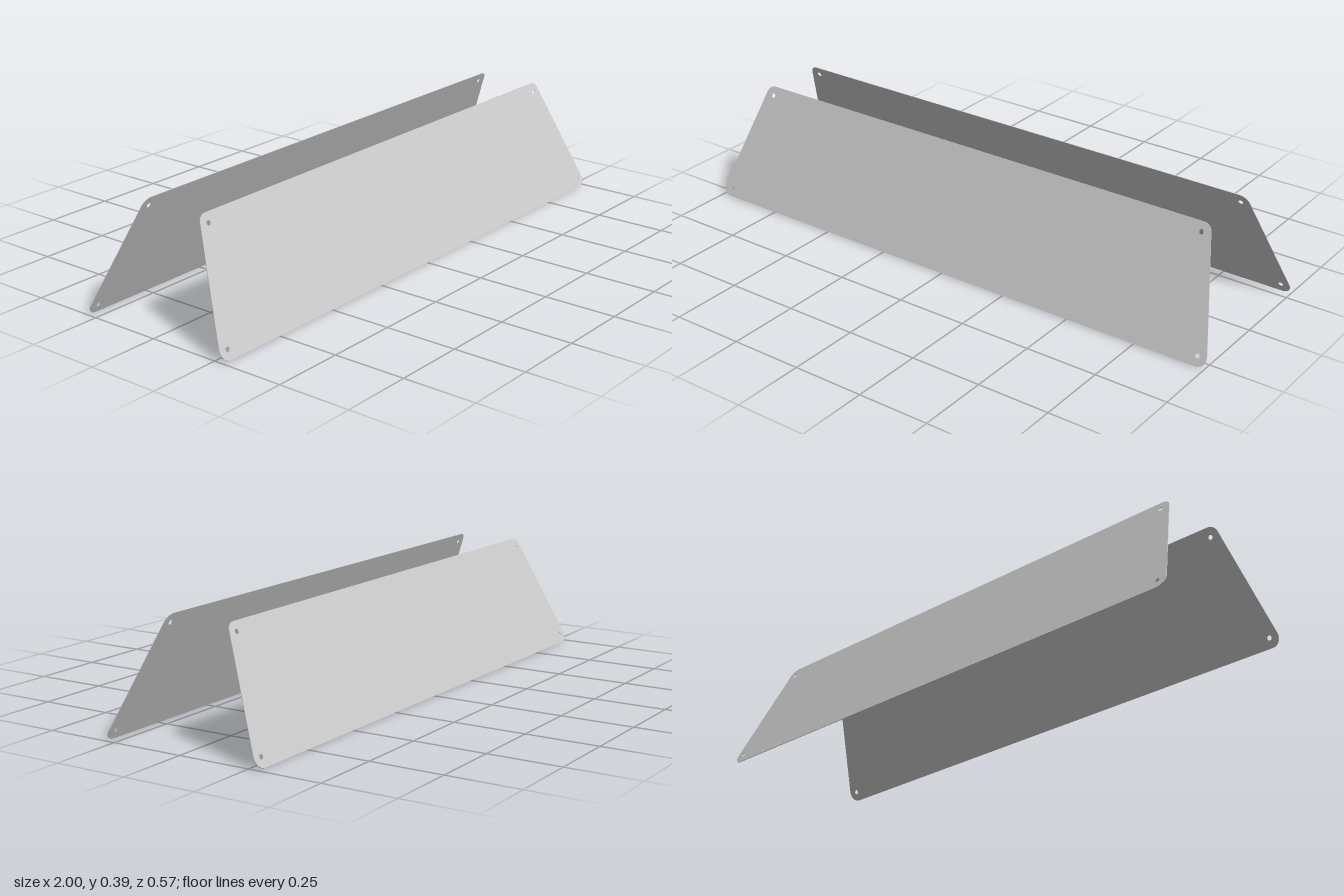
import * as THREE from 'three';

const RADIUS = 0.033;      // corner radius, shared by the hole centres
const HOLE = 0.008;        // screw hole radius
const THICK = 0.002;       // sheet thickness
const RISE = 0.393, RUN = 0.174;
const SLANT = Math.hypot(RISE, RUN);

// Trapezoid with rounded corners, drilled at each corner centre
function panelGeometry() {
  const low = [1 - RADIUS, RADIUS];
  const high = [0.876, SLANT - RADIUS];
  const a = Math.atan2(low[0] - high[0], high[1] - low[1]);
  const q = Math.PI / 2;
  const corners = [
    [low[0], low[1], -q, a],
    [high[0], high[1], a, q],
    [-high[0], high[1], q, Math.PI - a],
    [-low[0], low[1], Math.PI - a, 3 * q],
  ];
  const shape = new THREE.Shape();
  for (const [x, y, from, to] of corners) {
    shape.absarc(x, y, RADIUS, from, to, false);
    shape.holes.push(new THREE.Path().absarc(x, y, HOLE, 0, Math.PI * 2, true));
  }
  shape.closePath();
  const geometry = new THREE.ExtrudeGeometry(shape, { depth: THICK, bevelEnabled: false, curveSegments: 16 });
  return geometry.translate(0, 0, -THICK);
}

export function createModel() {
  const model = new THREE.Group();
  model.name = 'slopedPanels';
  const material = new THREE.MeshStandardMaterial({ color: 0xcccccc });
  const geometry = panelGeometry();

  // Two facing panels leaning towards each other
  for (const [name, turn] of [['frontPanel', 0], ['backPanel', Math.PI]]) {
    const panel = new THREE.Mesh(geometry, material);
    panel.name = name;
    panel.rotation.x = -Math.atan2(RUN, RISE);
    panel.position.set(0, THICK * RUN / SLANT, 0.285);
    const side = new THREE.Group();
    side.name = name + 'Side';
    side.rotation.y = turn;
    side.add(panel);
    model.add(side);
  }
  return model;
}
